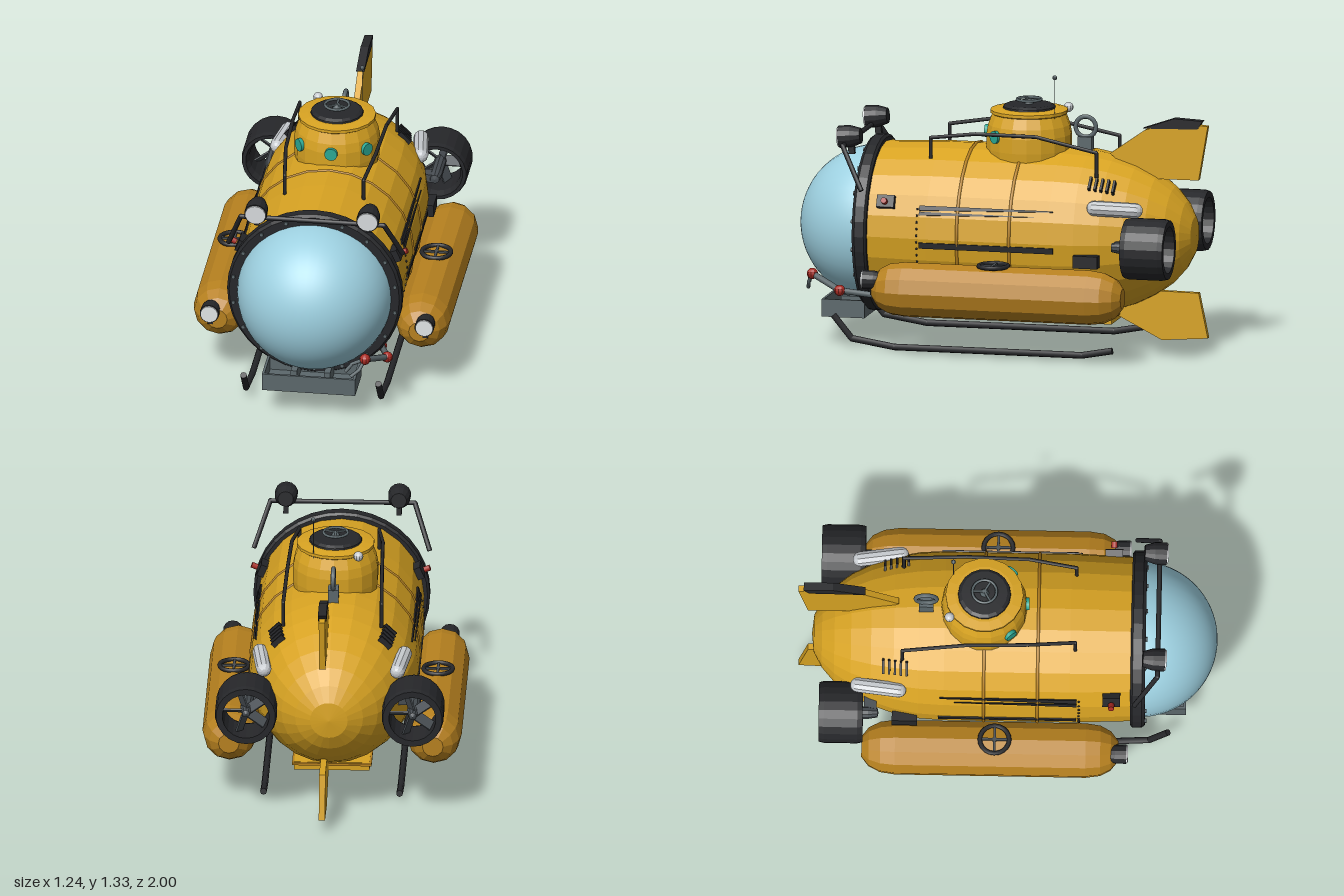
import * as THREE from 'three';
import { mergeGeometries } from 'three/addons/utils/BufferGeometryUtils.js';

const paint = (name, color) => { const m = new THREE.MeshStandardMaterial({ color }); m.name = name; return m; };
const V = (x, y, z) => new THREE.Vector3(x, y, z);
const AXIS_Y = 0.565; // height of the hull axis

export function createModel() {
  const yellow = paint('hull yellow', 0xd8a322), ochre = paint('float ochre', 0xb7811f);
  const black = paint('rubber black', 0x26272a), grey = paint('steel grey', 0x5c686c);
  const dark = paint('dark steel', 0x474d52), silver = paint('tank silver', 0xc6cace);
  const white = paint('lens white', 0xe6eaec), glass = paint('dome blue', 0x9dd0e0);
  const teal = paint('porthole teal', 0x2aa894), red = paint('joint red', 0xa82a22);

  const model = new THREE.Group();
  model.name = 'submarine';

  const flat = (g) => { const f = g.index ? g.toNonIndexed() : g; f.computeVertexNormals(); return f; };
  function add(parent, name, geo, mat, x = 0, y = 0, z = 0) {
    const mesh = new THREE.Mesh(geo, mat);
    mesh.name = name;
    mesh.position.set(x, y, z);
    parent.add(mesh);
    return mesh;
  }
  function group(parent, name, x = 0, y = 0, z = 0) {
    const g = new THREE.Group();
    g.name = name;
    g.position.set(x, y, z);
    parent.add(g);
    return g;
  }
  const box = (w, h, d) => new THREE.BoxGeometry(w, h, d);
  const ball = (r, n = 10) => flat(new THREE.SphereGeometry(r, n, Math.max(6, n - 2)));
  const lathe = (pts, n) => flat(new THREE.LatheGeometry(pts.map(([r, h]) => new THREE.Vector2(r, h)), n));
  const latheZ = (pts, n) => lathe(pts, n).rotateX(Math.PI / 2);
  // Bent rod through a list of points
  function rod(pts, r) {
    const parts = [];
    for (let i = 0; i < pts.length - 1; i++) {
      const d = pts[i + 1].clone().sub(pts[i]);
      const c = new THREE.CylinderGeometry(r, r, d.length(), 8);
      c.applyQuaternion(new THREE.Quaternion().setFromUnitVectors(V(0, 1, 0), d.clone().normalize()));
      const mid = pts[i].clone().add(pts[i + 1]).multiplyScalar(0.5);
      parts.push(c.translate(mid.x, mid.y, mid.z));
      if (i > 0) parts.push(new THREE.SphereGeometry(r, 8, 6).translate(pts[i].x, pts[i].y, pts[i].z));
    }
    return mergeGeometries(parts);
  }
  // Flat plate with a (z, y) outline, t thick and centred on x = 0
  function plate(outline, t) {
    const s = new THREE.Shape(outline.map(([z, y]) => new THREE.Vector2(z, y)));
    return new THREE.ExtrudeGeometry(s, { depth: t, bevelEnabled: false }).rotateY(-Math.PI / 2).translate(t / 2, 0, 0);
  }

  // Hull with an elliptical tail
  const hullPts = [[0, -0.935], [0.09, -0.925]];
  for (let i = 1; i <= 7; i++) {
    const a = 0.22 + (i / 7) * (Math.PI / 2 - 0.22);
    hullPts.push([0.405 * Math.sin(a), -0.3 - 0.64 * Math.cos(a)]);
  }
  hullPts.push([0.405, 0.3], [0.393, 0.6], [0, 0.6]);
  add(model, 'hull', latheZ(hullPts, 24), yellow, 0, AXIS_Y, 0);
  for (const z of [0.147, -0.11])
    add(model, 'hullSeam', new THREE.TorusGeometry(0.404, 0.008, 6, 24), ochre, 0, AXIS_Y, z).rotation.z = -Math.PI / 2;

  // Glass dome, collar and bolts
  add(model, 'dome', new THREE.SphereGeometry(0.372, 40, 24, 0, Math.PI * 2, 0, Math.PI / 2).rotateX(Math.PI / 2), glass, 0, AXIS_Y, 0.628);
  add(model, 'collar', latheZ([[0.36, 0.59], [0.41, 0.59], [0.422, 0.6], [0.422, 0.645], [0.41, 0.66], [0.368, 0.66], [0.36, 0.59]], 36), black, 0, AXIS_Y, 0);
  for (let i = 0; i < 18; i++) {
    const a = (i / 18) * Math.PI * 2;
    add(model, 'collarBolt', new THREE.CylinderGeometry(0.01, 0.01, 0.012, 6).rotateX(Math.PI / 2), grey,
      0.395 * Math.sin(a), AXIS_Y + 0.395 * Math.cos(a), 0.662);
  }

  // Conning tower with portholes, hatch and hand wheel
  const tower = group(model, 'tower', 0, 0, -0.112);
  add(tower, 'towerBody', lathe([[0.195, 0.85], [0.205, 0.96], [0.205, 1.03], [0.197, 1.075], [0.178, 1.125], [0.186, 1.13], [0.186, 1.145], [0.14, 1.152], [0, 1.152]], 18), yellow);
  for (const a of [-0.9, 0, 0.9]) {
    const port = group(tower, 'porthole');
    port.rotation.y = a;
    add(port, 'portholeGlass', new THREE.CylinderGeometry(0.031, 0.031, 0.02, 14).rotateX(Math.PI / 2), teal, 0, 1.03, 0.205);
  }
  add(tower, 'hatch', lathe([[0.128, 1.145], [0.125, 1.16], [0.11, 1.17], [0, 1.172]], 18), black);
  add(tower, 'hatchStem', new THREE.CylinderGeometry(0.012, 0.025, 0.03, 8), grey, 0, 1.18, 0);
  add(tower, 'hatchWheel', new THREE.TorusGeometry(0.058, 0.007, 6, 20).rotateX(Math.PI / 2), grey, 0, 1.192, 0);
  for (let i = 0; i < 3; i++)
    add(tower, 'wheelSpoke', box(0.055, 0.008, 0.01).translate(0.029, 0, 0), grey, 0, 1.192, 0).rotation.y = Math.PI / 2 + i * Math.PI * 2 / 3;
  add(tower, 'beacon', ball(0.024), silver, -0.115, 1.14, -0.165);
  add(tower, 'antennaTip', ball(0.012, 8), grey, 0.1, 1.32, -0.15);
  add(tower, 'antennaWhip', new THREE.CylinderGeometry(0.0015, 0.0015, 0.2, 5), grey, 0.1, 1.22, -0.15);

  // Lifting eye
  add(model, 'liftingBase', box(0.05, 0.08, 0.07), grey, 0, 0.985, -0.39);
  add(model, 'liftingRing', new THREE.TorusGeometry(0.05, 0.011, 8, 18).rotateY(Math.PI / 2), grey, 0, 1.07, -0.39);

  // Tail fins
  add(model, 'topFin', plate([[-0.52, 0.955], [-0.69, 1.075], [-0.83, 1.12], [-1, 1.105], [-0.955, 0.842], [-0.66, 0.84]], 0.03), yellow, 0.03, 0, 0);
  add(model, 'finCap', plate([[-0.68, 1.083], [-0.835, 1.137], [-0.975, 1.13], [-0.95, 1.09]], 0.04), black, 0.03, 0, 0);
  add(model, 'bottomFin', plate([[-0.5, 0.2], [-0.775, 0.06], [-1, 0.077], [-0.955, 0.295], [-0.62, 0.3]], 0.03), yellow, 0.03, 0, 0);

  // Keel
  add(model, 'keel', box(0.36, 0.04, 1.08), yellow, 0, 0.17, -0.02);
  add(model, 'keelLip', box(0.38, 0.012, 1.1), ochre, 0, 0.182, -0.02);

  // Open sample tray
  const tray = group(model, 'tray', 0, 0.135, 0.748);
  add(tray, 'trayFloor', box(0.45, 0.012, 0.21), grey, 0, 0.006, 0);
  for (const s of [-1, 1]) {
    add(tray, 'trayEnd', box(0.012, 0.085, 0.21), grey, s * 0.219, 0.0425, 0);
    add(tray, 'traySide', box(0.45, 0.085, 0.012), grey, 0, 0.0425, s * 0.099);
    add(tray, 'trayBracket', box(0.03, 0.07, 0.14), grey, s * 0.08, 0.045, -0.03);
  }

  // Manipulator arm
  const joints = [V(0.31, 0.265, 0.56), V(0.362, 0.292, 0.73), V(0.277, 0.352, 0.885)];
  add(model, 'arm', rod(joints, 0.015), grey);
  joints.forEach((p) => add(model, 'armJoint', ball(0.027), red, p.x, p.y, p.z));
  for (const o of [-0.016, 0.016])
    add(model, 'claw', rod([joints[2], V(0.235 + o, 0.32 - o, 0.91), V(0.2 + o * 0.8, 0.285 - o * 0.8, 0.92)], 0.009), grey);

  // Searchlight with its lens facing +z
  function lamp(name, r, len, x, y, z) {
    const g = group(model, name, x, y, z);
    add(g, 'lampHousing', latheZ([[0, -len], [r * 0.7, -len], [r, -len * 0.55], [r * 1.04, 0], [0, 0]], 14), black);
    add(g, 'lampLens', new THREE.CylinderGeometry(r * 0.94, r * 0.94, 0.008, 14).rotateX(Math.PI / 2), white, 0, 0, 0.003);
    add(g, 'lampFoot', box(0.025, r * 0.8, 0.03), black, 0, -r * 1.2, -len * 0.5);
    return g;
  }

  // Light bar over the dome
  add(model, 'lightBar', rod([V(-0.42, 0.79, 0.61), V(-0.345, 0.99, 0.72), V(0.345, 0.99, 0.72), V(0.42, 0.79, 0.61)], 0.012), black);

  const floatPts = [[0, -0.69], [0.05, -0.69], [0.095, -0.655], [0.122, -0.6], [0.132, -0.53],
    [0.132, 0.38], [0.122, 0.45], [0.095, 0.5], [0.05, 0.535], [0, 0.535]];

  // Everything that comes in pairs
  for (const s of [1, -1]) {
    lamp('topLamp', 0.053, 0.105, s * 0.27, 1.02, 0.752).rotation.x = 0.1;
    lamp('floatLamp', 0.045, 0.1, s * 0.518, 0.38, 0.575);

    // Side float and its valve wheel
    add(model, 'sideFloat', latheZ(floatPts, 12), ochre, s * 0.487, 0.335, 0);
    const valve = group(model, 'valveWheel', s * 0.487, 0.468, -0.055);
    add(valve, 'valveRim', new THREE.TorusGeometry(0.07, 0.011, 8, 20).rotateX(Math.PI / 2), black);
    add(valve, 'valveSpoke', box(0.13, 0.01, 0.012), dark);
    add(valve, 'valveSpoke', box(0.012, 0.01, 0.13), dark);
    add(valve, 'valveStem', new THREE.CylinderGeometry(0.012, 0.012, 0.03, 8), dark, 0, -0.01, 0);

    // Ducted thruster
    const jet = group(model, 'thruster', s * 0.398, AXIS_Y, -0.79);
    add(jet, 'duct', latheZ([[0.112, -0.105], [0.142, -0.105], [0.148, -0.08], [0.148, 0.08], [0.142, 0.105], [0.125, 0.105], [0.112, 0.07], [0.112, -0.105]], 22), black);
    add(jet, 'motorPod', latheZ([[0, -0.08], [0.018, -0.07], [0.03, -0.02], [0.03, 0.13], [0.022, 0.175], [0, 0.18]], 10), dark);
    for (let i = 0; i < 5; i++) {
      const arm = group(jet, 'blade');
      arm.rotation.z = (i / 5) * Math.PI * 2;
      add(arm, 'propellerBlade', box(0.09, 0.008, 0.055), dark, 0.065, 0, -0.03).rotation.x = 0.6;
    }
    add(jet, 'motorStrut', box(0.1, 0.04, 0.06), dark, -s * 0.05, 0, 0.14);
    add(model, 'sideBracket', box(0.05, 0.06, 0.12), black, s * 0.395, 0.49, -0.487);

    // Gas bottle
    const bottle = add(model, 'gasBottle', flat(new THREE.CapsuleGeometry(0.037, 0.195, 4, 10).rotateX(Math.PI / 2)), silver, s * 0.332, 0.738, -0.613);
    bottle.rotation.set(-0.04, s * 0.13, 0);

    // Navigation light
    add(model, 'lightMount', box(0.06, 0.06, 0.085), black, s * 0.362, 0.73, 0.5).rotation.z = s * 0.4;
    add(model, 'sideLight', new THREE.CylinderGeometry(0.015, 0.015, 0.03, 8).rotateZ(Math.PI / 2), red, s * 0.412, 0.745, 0.5).rotation.z = s * 0.4;

    // Roof rail and landing skid
    add(model, 'roofRail', rod([V(s * 0.19, 0.92, 0.325), V(s * 0.19, 1.02, 0.325), V(s * 0.217, 1.052, 0.1),
      V(s * 0.225, 1.052, -0.2), V(s * 0.235, 0.99, -0.5), V(s * 0.235, 0.87, -0.5)], 0.009), black);
    add(model, 'skid', rod([V(s * 0.325, 0.165, 0.77), V(s * 0.325, 0.055, 0.68), V(s * 0.325, 0.022, 0.47),
      V(s * 0.325, 0.022, -0.45), V(s * 0.325, 0.05, -0.6)], 0.016), black);

    // Strips, rivets and vents laid on the curved hull
    const onHull = (name, angle) => {
      const g = group(model, name, 0, AXIS_Y, 0);
      g.rotation.z = s > 0 ? angle : Math.PI - angle;
      return g;
    };
    add(onHull('lowerStrip', -0.075), 'stripPlate', box(0.012, 0.028, 0.66), black, 0.403, 0, 0.003);
    const upper = onHull('upperStrip', 0.37);
    add(upper, 'stripPlate', plate([[0.335, s * 0.012], [-0.32, s * 0.012], [-0.32, s * 0.007], [0.335, s * -0.012]], 0.009), black, 0.404, 0, 0);
    add(upper, 'stripPlate', plate([[0.335, s * -0.018], [-0.25, s * -0.02], [0.335, s * -0.036]], 0.009), black, 0.404, 0, 0);
    for (let i = 0; i < 9; i++)
      add(onHull('rivetRow', -0.28 + i * 0.08), 'rivet', ball(0.006, 6), black, 0.402, 0, 0.345);
    const vents = onHull('vents', 0.8);
    for (let i = 0; i < 5; i++)
      add(vents, 'ventSlat', box(0.03, 0.07, 0.011), black, 0.39 - i * 0.006, 0, -0.478 - i * 0.028);
  }
  return model;
}
